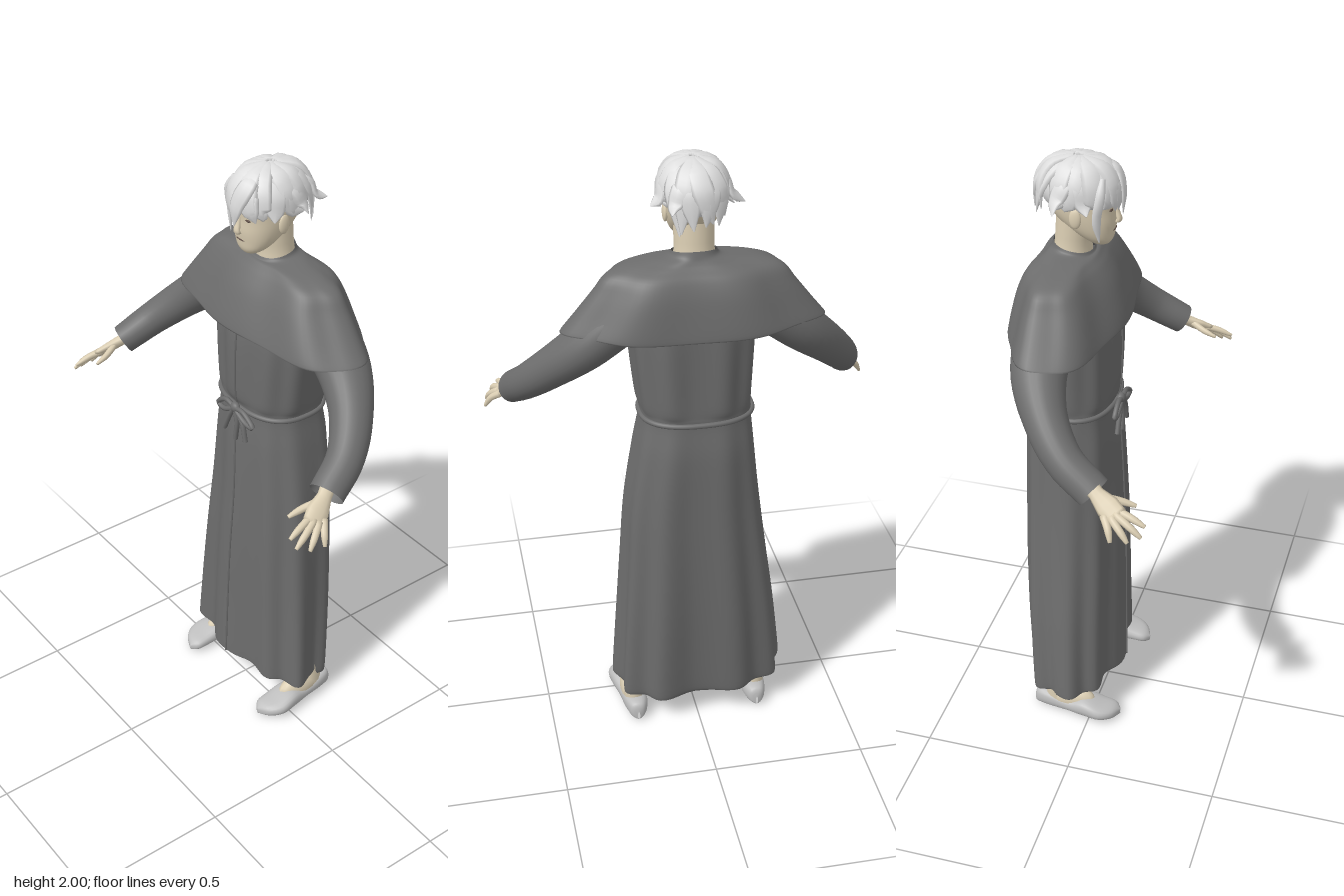
import * as THREE from 'three';

const V = (x, y, z) => new THREE.Vector3(x, y, z);
const spow = (v, e) => Math.sign(v) * Math.pow(Math.abs(v), e);

const mat = (name, color) => {
  const m = new THREE.MeshStandardMaterial({ color, side: THREE.DoubleSide });
  m.name = name;
  return m;
};

// Surface through rows of points; every row is a closed loop
function skin(rows) {
  const n = rows[0].length, pos = [], idx = [];
  rows.forEach(r => r.forEach(p => pos.push(p.x, p.y, p.z)));
  for (let i = 0; i < rows.length - 1; i++) for (let j = 0; j < n; j++) {
    const k = (j + 1) % n, a = i * n + j, b = i * n + k, c = a + n, d = b + n;
    idx.push(a, b, c, b, d, c);
  }
  const g = new THREE.BufferGeometry();
  g.setAttribute('position', new THREE.Float32BufferAttribute(pos, 3));
  g.setIndex(idx);
  g.computeVertexNormals();
  return g;
}

// Mirrored copy across x with the corner order restored
function mirror(geo) {
  const g = geo.clone().scale(-1, 1, 1), a = g.index.array;
  for (let i = 0; i < a.length; i += 3) [a[i], a[i + 1]] = [a[i + 1], a[i]];
  g.computeVertexNormals();
  return g;
}

// Smooth interpolation of a list of key rows, t in 0..1
function keyed(keys, t) {
  const s = t * (keys.length - 1), i = Math.min(Math.floor(s), keys.length - 2), f = s - i;
  const at = k => keys[Math.max(0, Math.min(keys.length - 1, k))];
  return keys[i].map((_, c) => {
    const [p, q, r, w] = [at(i - 1)[c], at(i)[c], at(i + 1)[c], at(i + 2)[c]];
    const m0 = (r - p) / 2, m1 = (w - q) / 2, f2 = f * f, f3 = f2 * f;
    return (2 * f3 - 3 * f2 + 1) * q + (f3 - 2 * f2 + f) * m0 + (3 * f2 - 2 * f3) * r + (f3 - f2) * m1;
  });
}

// Point on a body section: key = [y, centre x, half width, front z, back z]
function bodyPoint(keys, t, a, e, fold) {
  const [y, cx, xr, zf, zb] = keyed(keys, t), [k, lift] = fold ? fold(a, t) : [0, 0];
  const x = xr * spow(Math.sin(a), e), z = (zf - zb) / 2 * spow(Math.cos(a), e);
  return V(cx + x * (1 + k * 0.5), y + lift, (zf + zb) / 2 + z * (1 + k));
}
function body(keys, n, seg, e, fold) {
  const rows = [];
  for (let i = 0; i <= n; i++)
    rows.push(Array.from({ length: seg }, (_, j) => bodyPoint(keys, i / n, j / seg * Math.PI * 2, e, fold)));
  return skin(rows);
}

// Tapered oval section swept along a curve
function sweep(pts, widths, thicks, normal, n = 12, seg = 10, cap = true) {
  const curve = new THREE.CatmullRomCurve3(pts.map(p => V(...p))), rows = [];
  const at = (arr, f) => {
    const s = f * (arr.length - 1), i = Math.min(Math.floor(s), arr.length - 2);
    return THREE.MathUtils.lerp(arr[i], arr[i + 1], s - i);
  };
  for (let i = 0; i <= n; i++) {
    const f = i / n, p = curve.getPoint(f), T = curve.getTangent(f);
    const N = typeof normal === 'function' ? normal(p) : V(...normal);
    const u = N.cross(T).normalize(), v = T.clone().cross(u);
    const ring = s => Array.from({ length: seg }, (_, j) => {
      const a = j / seg * Math.PI * 2;
      return p.clone().addScaledVector(u, s * at(widths, f) * Math.cos(a)).addScaledVector(v, s * at(thicks, f) * Math.sin(a));
    });
    if (cap && i === 0) rows.push(ring(0));
    rows.push(ring(1));
    if (cap && i === n) rows.push(ring(0));
  }
  return skin(rows);
}

export function createModel() {
  const model = new THREE.Group();
  const cloth = mat('charcoal cloth', 0x6d6d6d), flesh = mat('pale skin', 0xdccfb4);
  const hairMat = mat('silver hair', 0xdedede), shoeMat = mat('light grey shoe', 0xbebebe);
  const dark = mat('dark brown', 0x5a4a42);
  const add = (name, geo, m) => {
    const mesh = new THREE.Mesh(geo, m);
    mesh.name = name;
    model.add(mesh);
    return mesh;
  };
  const pair = (name, geo, m) => {
    add(name + 'Left', geo, m);
    add(name + 'Right', mirror(geo), m);
  };
  const ball = (name, m, p, s) => {
    const b = add(name, new THREE.SphereGeometry(1, 16, 12), m);
    b.position.set(...p);
    b.scale.set(...s);
  };

  // Long robe, gathered at the waist, with soft folds and an uneven hem
  const robeKeys = [
    [0.105, -0.02, 0.285, 0.06, -0.228], [0.14, -0.02, 0.287, 0.061, -0.235], [0.37, -0.014, 0.268, 0.058, -0.25],
    [0.6, -0.005, 0.245, 0.055, -0.258], [0.83, 0.003, 0.222, 0.046, -0.26], [1.04, 0, 0.195, 0.038, -0.258],
    [1.165, -0.004, 0.178, 0.026, -0.243], [1.23, 0, 0.184, 0.036, -0.25], [1.45, 0.005, 0.2, 0.035, -0.25],
    [1.6, 0, 0.2, 0, -0.235]];
  const robeFold = (a, t) => {
    const k = t < 0.667 ? 0.085 * (1 - t / 0.667) + 0.016 : 0.045 * Math.sin((t - 0.667) / 0.333 * Math.PI);
    const low = Math.max(0, 1 - t / 0.2);
    return [k * (Math.cos(9 * a + 0.6) - 0.4 + 0.4 * Math.cos(5 * a)), low * 0.014 * (Math.cos(a) - Math.sin(a))];
  };
  add('robe', body(robeKeys, 54, 96, 0.78, robeFold), cloth);

  // Front closing edge down the middle of the robe
  const edge = [];
  for (let i = 0; i <= 24; i++) edge.push(bodyPoint(robeKeys, 0.01 + i / 24 * 0.88, 0, 0.78, robeFold).toArray());
  add('frontClosing', sweep(edge, [0.003, 0.003], [0.005, 0.005], [0, 0, 1], 48, 6), cloth);

  // Shoulder cape with a rolled hem and a neck opening, lower at the throat
  const capeKeys = [
    [1.485, 0, 0.395, 0.058, -0.264], [1.473, 0, 0.41, 0.069, -0.276], [1.525, 0, 0.368, 0.054, -0.269],
    [1.6, 0, 0.31, 0.024, -0.252], [1.65, 0, 0.272, -0.006, -0.228], [1.673, 0, 0.215, -0.026, -0.2],
    [1.686, 0, 0.135, -0.037, -0.185], [1.694, 0, 0.082, -0.042, -0.177], [1.708, 0, 0.07, -0.047, -0.17]];
  const capeFold = (a, t) => {
    const k = 0.04 * Math.sin(Math.min(1, t * 1.1) * Math.PI) + 0.03 * (1 - t);
    const hem = Math.max(0, 1 - t * 2) * 0.007 * Math.cos(3 * a), neckline = Math.max(0, t - 0.7) / 0.3 * 0.014 * Math.cos(a);
    return [k * Math.cos(7 * a + 0.5), hem - neckline];
  };
  add('shoulderCape', body(capeKeys, 36, 80, 0.93, capeFold), cloth);

  // Sleeves
  pair('sleeve', sweep(
    [[0.13, 1.57, -0.12], [0.23, 1.51, -0.125], [0.335, 1.425, -0.12], [0.435, 1.335, -0.07], [0.51, 1.25, 0.01], [0.548, 1.182, 0.112]],
    [0.09, 0.1, 0.087, 0.068, 0.059, 0.056], [0.08, 0.085, 0.076, 0.065, 0.056, 0.05], [0.6, 0.7, 0.1], 24, 24, false), cloth);

  // Hands: palm, four fingers and a thumb
  const back = [0.73, 0.62, 0.07];
  pair('palm', sweep([[0.52, 1.215, 0.07], [0.55, 1.18, 0.12], [0.57, 1.155, 0.16], [0.588, 1.135, 0.195]],
    [0.026, 0.024, 0.037, 0.034], [0.021, 0.018, 0.016, 0.012], back), flesh);
  const fingers = [
    ['thumb', [0.552, 1.172, 0.145], [0.533, 1.155, 0.19], [0.524, 1.14, 0.236]],
    ['indexFinger', [0.572, 1.15, 0.185], [0.583, 1.137, 0.235], [0.59, 1.118, 0.28]],
    ['middleFinger', [0.584, 1.143, 0.185], [0.604, 1.12, 0.235], [0.612, 1.092, 0.274]],
    ['ringFinger', [0.594, 1.136, 0.175], [0.618, 1.11, 0.21], [0.632, 1.08, 0.238]],
    ['littleFinger', [0.592, 1.135, 0.155], [0.62, 1.112, 0.175], [0.64, 1.078, 0.188]]];
  for (const [name, ...pts] of fingers)
    pair(name, sweep(pts, [0.013, 0.012, 0.011, 0.006], [0.012, 0.011, 0.01, 0.005], back, 8, 8), flesh);

  // Rope belt following the waist, with a bow
  const tube = (pts, closed, n, r = 0.0085) =>
    new THREE.TubeGeometry(new THREE.CatmullRomCurve3(pts, closed), n, r, 8, closed);
  const waist = Array.from({ length: 40 }, (_, j) => {
    const p = bodyPoint(robeKeys, 0.667, j / 40 * Math.PI * 2, 0.8);
    return V(p.x * 1.01, 1.17, (p.z + 0.108) * 1.03 - 0.108);
  });
  add('ropeBelt', tube(waist, true, 120), cloth);
  const bow = [
    [[0, 1.17], [-0.045, 1.178], [-0.088, 1.145], [-0.06, 1.137], [0, 1.165]],
    [[0, 1.17], [0.05, 1.172], [0.098, 1.14], [0.06, 1.138], [0, 1.165]],
    [[0, 1.17], [-0.025, 1.13], [-0.055, 1.065]],
    [[0, 1.17], [0.012, 1.12], [0.004, 1.05]],
    [[0, 1.17], [0.04, 1.13], [0.058, 1.065]]];
  bow.forEach((pts, i) => add('bowCord' + i, tube(pts.map(p => V(p[0], p[1], 0.045)), false, 20), cloth));
  ball('bowKnot', cloth, [0, 1.17, 0.042], [0.02, 0.018, 0.015]);

  // Lower legs, insteps and slip-on shoes
  pair('leg', sweep([[0.19, 0.32, -0.1], [0.205, 0.2, -0.115], [0.213, 0.11, -0.125], [0.213, 0.03, -0.12]],
    [0.04, 0.036, 0.033, 0.036], [0.045, 0.04, 0.037, 0.047], [0, 0, 1], 12, 14), flesh);
  const instep = new THREE.SphereGeometry(1, 16, 12).scale(0.037, 0.052, 0.09).translate(0.217, 0.045, -0.075);
  pair('instep', instep, flesh);
  const shoeKeys = [[-0.206, 0.21, 0.004, 0.03], [-0.195, 0.21, 0.026, 0.06], [-0.15, 0.21, 0.04, 0.064], [-0.08, 0.215, 0.043, 0.052],
    [-0.02, 0.222, 0.051, 0.066], [0.04, 0.225, 0.053, 0.05], [0.082, 0.214, 0.037, 0.037], [0.102, 0.205, 0.003, 0.02]];
  const shoeRows = [];
  for (let i = 0; i <= 28; i++) {
    const [z, cx, w, h] = keyed(shoeKeys, i / 28);
    shoeRows.push(Array.from({ length: 20 }, (_, j) => {
      const a = j / 20 * Math.PI * 2;
      return V(cx + w * spow(Math.cos(a), 0.8), h / 2 + h / 2 * spow(Math.sin(a), 0.75), z);
    }));
  }
  pair('shoe', skin(shoeRows), shoeMat);

  // Neck, head and face
  add('neck', sweep([[0, 1.64, -0.115], [0, 1.72, -0.11], [0, 1.82, -0.1]], [0.07, 0.062, 0.064], [0.064, 0.057, 0.06], [0, 0, 1], 10, 20), flesh);
  const headKeys = [
    [1.716, 0, 0.002, -0.015, -0.02], [1.721, 0, 0.026, 0.004, -0.045], [1.738, 0, 0.05, 0.016, -0.07], [1.765, 0, 0.067, 0.021, -0.11],
    [1.8, 0, 0.078, 0.026, -0.155], [1.84, 0, 0.084, 0.026, -0.185], [1.885, 0, 0.085, 0.03, -0.198],
    [1.93, 0, 0.078, 0.018, -0.193], [1.965, 0, 0.052, -0.02, -0.16], [1.98, 0, 0.002, -0.085, -0.09]];
  add('head', body(headKeys, 32, 32, 0.9), flesh);
  add('nose', sweep([[0, 1.86, 0.022], [0, 1.825, 0.028], [0, 1.8, 0.034], [0, 1.793, 0.024]],
    [0.007, 0.009, 0.013, 0.01], [0.006, 0.008, 0.009, 0.005], [0, 0, 1], 12, 10), flesh);
  ball('mouth', dark, [0, 1.769, 0.02], [0.02, 0.0025, 0.004]);
  for (const s of [-1, 1]) {
    ball('ear', flesh, [s * 0.083, 1.822, -0.08], [0.009, 0.032, 0.019]);
    ball('eye', dark, [s * 0.034, 1.843, 0.019], [0.014, 0.004, 0.004]);
  }

  // Hair: scalp cap, tilted back so that it sits high on the brow
  const cap = new THREE.SphereGeometry(1, 28, 18, 0, Math.PI * 2, 0, Math.PI * 0.58);
  cap.rotateX(-0.4).scale(0.096, 0.093, 0.12).translate(0, 1.896, -0.092);
  add('hairCap', cap, hairMat);

  // Hair: chunky tousled locks in two layers around the crown, longer at the back
  let seed = 11;
  const rand = () => (seed = (seed * 16807) % 2147483647) / 2147483647;
  const outward = p => p.clone().sub(V(0, 1.88, -0.09));
  const lock = (pts, w) => add('hairLock', sweep(pts, [w * 0.5, w, w * 1.05, w * 0.85, 0.002], [0.007, 0.011, 0.011, 0.008, 0.001], outward, 14, 8), hairMat);
  for (let layer = 0; layer < 2; layer++) for (let k = 0; k < 11; k++) {
    const a = (k + layer * 0.5) / 11 * Math.PI * 2 + (rand() - 0.5) * 0.3, c = Math.cos(a), twist = (rand() - 0.5) * 0.9;
    const front = c > 0.45, flare = front ? 0.99 : 1 + rand() * (Math.abs(c) < 0.6 ? 0.2 : 0.06);
    const tip = (front ? 1.825 : c < -0.4 ? 1.785 : 1.835) + rand() * 0.045 + layer * 0.012;
    const at = (r, y, t = 0) => [0.104 * r * Math.sin(a + t), y, -0.092 + 0.132 * r * Math.cos(a + t)];
    lock([at(0.12, 1.985 + layer * 0.005, -twist), at(0.64, 1.966 + layer * 0.006, -twist / 3), at(0.93, 1.92 + layer * 0.006), at(1, 1.875, twist / 3), at(flare, tip, twist * 0.7)], 0.034);
  }

  // Loose tufts at the sides and back, and one long lock by the cheek
  lock([[-0.05, 1.97, -0.08], [-0.095, 1.93, -0.11], [-0.112, 1.885, -0.13], [-0.15, 1.855, -0.13]], 0.028);
  lock([[0.05, 1.97, -0.08], [0.095, 1.93, -0.11], [0.108, 1.885, -0.13], [0.136, 1.862, -0.13]], 0.028);
  lock([[0.03, 1.97, -0.13], [0.06, 1.93, -0.19], [0.075, 1.885, -0.205], [0.09, 1.87, -0.238]], 0.026);
  lock([[-0.06, 1.95, 0], [-0.09, 1.9, 0], [-0.094, 1.83, -0.01], [-0.083, 1.755, -0.005]], 0.016);
  lock([[0.02, 1.975, -0.02], [0.03, 1.95, 0.02], [0.012, 1.89, 0.044], [0, 1.82, 0.046]], 0.03);

  return model;
}
